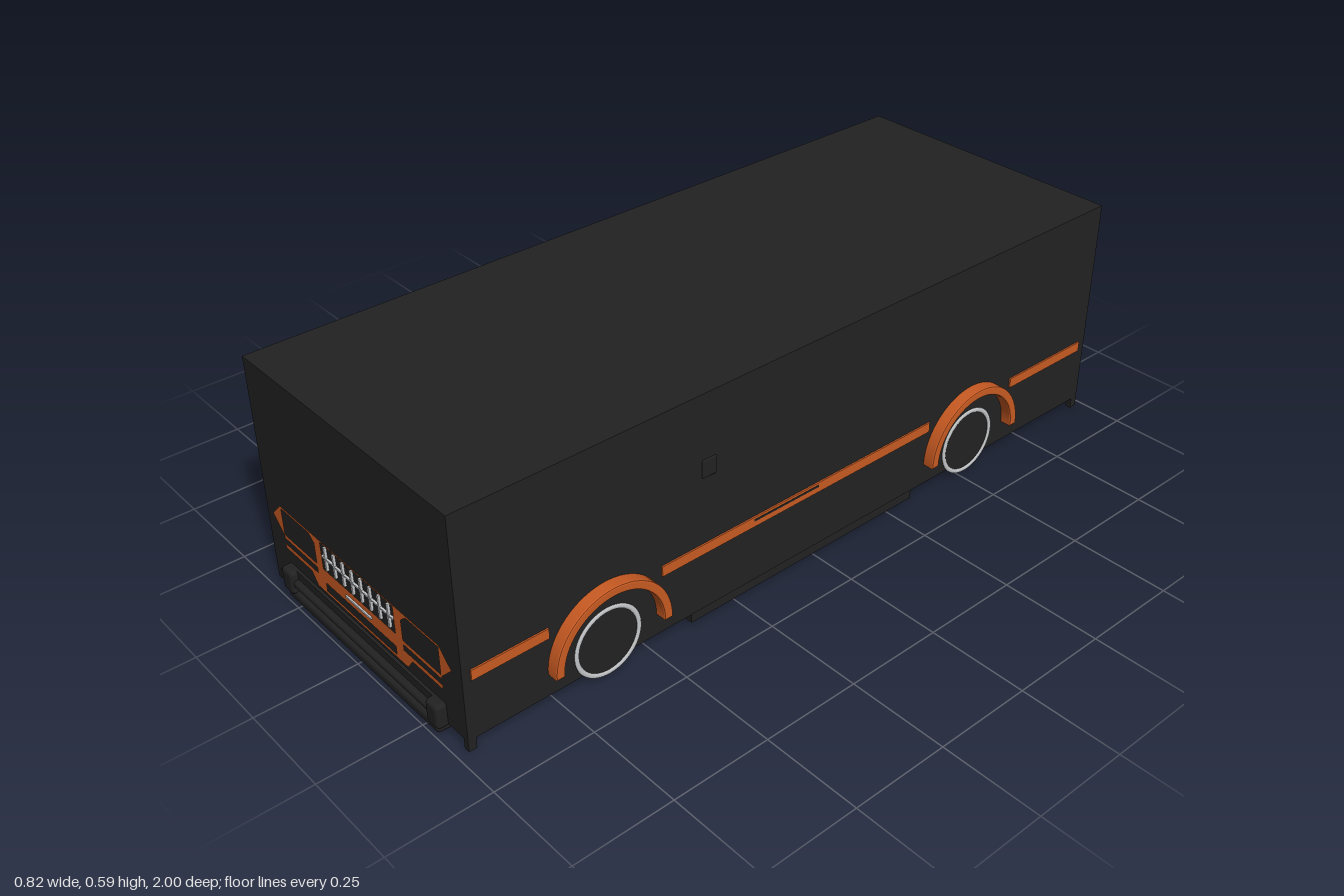
import * as THREE from 'three';
import { RoundedBoxGeometry } from 'three/addons/geometries/RoundedBoxGeometry.js';

const material = (name, color) => {
  const m = new THREE.MeshStandardMaterial({ color });
  m.name = name;
  return m;
};

export function createModel() {
  const black = material('black', 0x222222);
  const orange = material('orange', 0xc85a22);
  const chrome = material('chrome', 0xc4c6c8);
  const model = new THREE.Group();
  model.name = 'van';

  const add = (name, geometry, mat, x = 0, y = 0, z = 0, parent = model) => {
    const mesh = new THREE.Mesh(geometry, mat);
    mesh.name = name;
    mesh.position.set(x, y, z);
    parent.add(mesh);
    return mesh;
  };
  // box given by its extents on each axis
  const block = (name, mat, [x0, x1], [y0, y1], [z0, z1], parent) =>
    add(name, new THREE.BoxGeometry(x1 - x0, y1 - y0, z1 - z0), mat,
      (x0 + x1) / 2, (y0 + y1) / 2, (z0 + z1) / 2, parent);
  const points = (list) => list.map(([x, y]) => new THREE.Vector2(x, y));
  const mirror = (list) => list.map(([x, y]) => [-x, y]).reverse();
  const rect = (x0, x1, y0, y1) => [[x0, y0], [x1, y0], [x1, y1], [x0, y1]];
  const panel = (outline, holes) => {
    const shape = new THREE.Shape(points(outline));
    holes.forEach((h) => shape.holes.push(new THREE.Path(points(h))));
    return new THREE.ShapeGeometry(shape);
  };

  // body shell
  block('body', black, [-0.38, 0.38], [0.035, 0.594], [-0.975, 0.975]);

  // tapered underbody pan with a dark floor plate
  const pan = new THREE.BoxGeometry(0.74, 0.022, 1.91);
  const p = pan.attributes.position;
  for (let i = 0; i < p.count; i++) {
    if (p.getY(i) < 0) p.setXYZ(i, p.getX(i) * 0.82, p.getY(i), p.getZ(i) * 0.83);
  }
  pan.computeVertexNormals();
  add('underbodyPan', pan, orange, 0, 0.025, 0);
  block('floorPlate', black, [-0.28, 0.28], [0.009, 0.016], [-0.77, 0.75]);

  // wheel arch profile
  const arch = new THREE.Shape();
  arch.absarc(0, 0, 0.152, 0, Math.PI, false);
  arch.absarc(0, 0, 0.138, Math.PI, 0, true);
  const archGeometry = new THREE.ExtrudeGeometry(arch, {
    depth: 0.027, curveSegments: 32, bevelThickness: 0.004, bevelSize: 0.004, bevelSegments: 2,
  });
  const tyreGeometry = new THREE.CylinderGeometry(0.088, 0.088, 0.13, 40).rotateZ(Math.PI / 2);
  const rimGeometry = new THREE.TorusGeometry(0.084, 0.006, 8, 48).scale(1, 1, 0.5).rotateY(Math.PI / 2);

  for (const s of [1, -1]) {
    const side = s > 0 ? 'left' : 'right';
    const span = (a, b) => (s > 0 ? [a, b] : [-b, -a]);
    // wheels and arches
    for (const [end, z] of [['Front', 0.615], ['Rear', -0.525]]) {
      add(side + end + 'Tyre', tyreGeometry, black, s * 0.317, 0.094, z);
      add(side + end + 'RimRing', rimGeometry, chrome, s * 0.382, 0.094, z);
      const a = add(side + end + 'WheelArch', archGeometry, orange, s > 0 ? 0.379 : -0.406, 0.096, z);
      a.rotation.y = Math.PI / 2;
    }
    // side stripe, broken by the arches
    for (const z of [[0.765, 0.955], [-0.375, 0.465], [-0.95, -0.675]]) {
      block(side + 'Stripe', orange, span(0.379, 0.384), [0.187, 0.213], z);
    }
    block(side + 'StripeInset', black, span(0.38, 0.385), [0.202, 0.207], [0, 0.2]);
    block(side + 'Sill', black, span(0.335, 0.378), [0.01, 0.036], [-0.33, 0.38]);
    // fuel flap sized hatch
    add(side + 'Hatch', new RoundedBoxGeometry(0.008, 0.045, 0.04, 2, 0.003), black, s * 0.38, 0.408, 0.33);
  }

  // front fascia
  const front = new THREE.Group();
  front.name = 'frontFascia';
  model.add(front);
  const half = [[0.31, 0.243], [0.35, 0.203], [0.31, 0.163], [0.31, 0.155], [0.17, 0.155],
    [0.17, 0.14], [0.31, 0.14], [0.31, 0.128], [0.2, 0.128], [0.178, 0.1]];
  const lamp = [[0.17, 0.166], [0.307, 0.166], [0.307, 0.237], [0.19, 0.237], [0.17, 0.22]];
  add('frontTrim', panel([...half, ...mirror(half)],
    [lamp, mirror(lamp), rect(-0.142, 0.142, 0.167, 0.239), rect(-0.138, 0.138, 0.108, 0.13)]),
  orange, 0, 0, 0.978, front);
  for (let i = 0; i < 8; i++) {
    const x = -0.124 + i * 0.0354;
    block('grilleBar', chrome, [x - 0.003, x + 0.003], [0.173, 0.235], [0.974, 0.981], front);
  }
  block('grilleCrossbar', chrome, [-0.14, 0.14], [0.202, 0.206], [0.974, 0.98], front);
  block('frontBadgeBar', chrome, [-0.05, 0.05], [0.147, 0.152], [0.974, 0.982], front);

  // rear fascia, built facing forward and turned round
  const rear = new THREE.Group();
  rear.name = 'rearFascia';
  rear.rotation.y = Math.PI;
  model.add(rear);
  const rearLamp = rect(0.14, 0.306, 0.206, 0.285);
  add('rearTrim', panel(rect(-0.31, 0.31, 0.085, 0.3),
    [rearLamp, mirror(rearLamp), rect(-0.105, 0.105, 0.095, 0.165)]), orange, 0, 0, 0.978, rear);
  block('rearChromeStrip', chrome, [-0.35, 0.35], [0.194, 0.199], [0.974, 0.98], rear);
  block('rearBadgeBar', chrome, [-0.04, 0.04], [0.258, 0.265], [0.974, 0.982], rear);
  block('rearHandle', chrome, [-0.035, 0.035], [0.176, 0.182], [0.974, 0.982], rear);

  // matching bumpers
  for (const [parent, name] of [[front, 'front'], [rear, 'rear']]) {
    block(name + 'BumperBack', black, [-0.3, 0.3], [0.03, 0.088], [0.97, 0.982], parent);
    add(name + 'BumperBar', new RoundedBoxGeometry(0.6, 0.028, 0.045, 3, 0.01), black, 0, 0.021, 0.972, parent);
    add(name + 'BumperRail', new RoundedBoxGeometry(0.54, 0.018, 0.03, 3, 0.008), black, 0, 0.058, 0.981, parent);
    for (const s of [1, -1]) {
      add(name + 'BumperEnd', new RoundedBoxGeometry(0.045, 0.062, 0.035, 3, 0.01), black,
        s * 0.288, 0.058, 0.9825, parent);
      block(name + 'CornerSkirt', black, s > 0 ? [0.365, 0.38] : [-0.38, -0.365],
        [0.007, 0.036], [0.955, 0.975], parent);
    }
  }
  return model;
}
